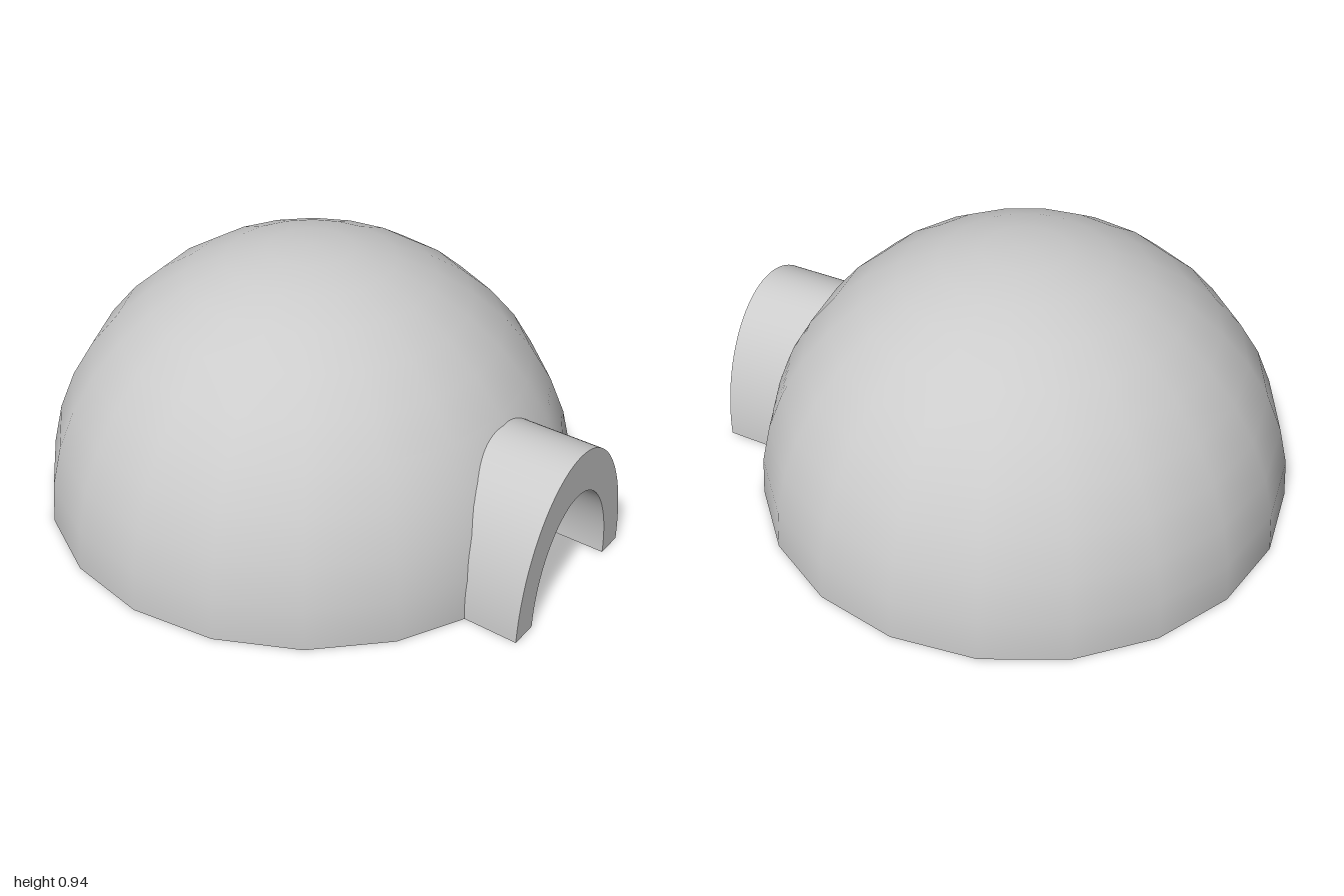
import * as THREE from 'three';
import { mergeGeometries, toCreasedNormals } from 'three/addons/utils/BufferGeometryUtils.js';

const R = 0.94, DOME_Z = -0.06;
const DU = Math.PI / 10; // dome facet width: 20 around
const DV = Math.PI / 20; // dome facet height: 10 from rim to crown

// Point on the dome's sphere at facet coordinates (u from the front, v from the rim)
function spherePoint(u, v) {
  const c = R * Math.cos(v * DV);
  return new THREE.Vector3(c * Math.sin(u * DU), R * Math.sin(v * DV), c * Math.cos(u * DU));
}

// Same, but lying on the straight-edged facets
function facetPoint(u, v) {
  const u0 = Math.floor(u), v0 = Math.floor(v);
  const low = spherePoint(u0, v0).lerp(spherePoint(u0 + 1, v0), u - u0);
  const high = spherePoint(u0, v0 + 1).lerp(spherePoint(u0 + 1, v0 + 1), u - u0);
  return low.lerp(high, v - v0);
}

// Front part of the dome, 4 x 4 facets, with an arched doorway cut out
function doorwayPatch(halfWidth, height) {
  const sub = 4, rows = 8, rim = [];
  for (let i = 0; i < 4 * sub; i++) rim.push([2, i / sub]);
  for (let i = 0; i < 4 * sub; i++) rim.push([2 - i / sub, 4]);
  for (let i = 0; i <= 4 * sub; i++) rim.push([-2, 4 - i / sub]);

  const positions = [], normals = [], index = [];
  rim.forEach(([u, v], i) => {
    const t = Math.atan2(v / 4, u / 2);
    const el = Math.asin(height * Math.sin(t) / R);
    const az = Math.asin(halfWidth * Math.cos(t) / (R * Math.cos(el)));
    for (let j = 0; j <= rows; j++) {
      const p = facetPoint(
        THREE.MathUtils.lerp(az / DU, u, j / rows),
        THREE.MathUtils.lerp(el / DV, v, j / rows));
      positions.push(p.x, p.y, p.z);
      p.normalize();
      normals.push(p.x, p.y, p.z);
      if (i < rim.length - 1 && j < rows) {
        const a = i * (rows + 1) + j, d = a + rows + 1;
        index.push(a, a + 1, d + 1, a, d + 1, d);
      }
    }
  });
  const g = new THREE.BufferGeometry();
  g.setAttribute('position', new THREE.Float32BufferAttribute(positions, 3));
  g.setAttribute('normal', new THREE.Float32BufferAttribute(normals, 3));
  g.setIndex(index);
  return g;
}

export function createModel() {
  const group = new THREE.Group();
  const material = new THREE.MeshStandardMaterial({ color: 0xcccccc });
  const shellMaterial = new THREE.MeshStandardMaterial({ color: 0xcccccc, side: THREE.DoubleSide });

  // Open dome shell: crown, lower band around the back, and the doorway front
  const crown = new THREE.SphereGeometry(R, 20, 6, 0, Math.PI * 2, 0, 6 * DV);
  const band = new THREE.SphereGeometry(R, 16, 4, Math.PI / 2 + 2 * DU, 16 * DU, 6 * DV, 4 * DV);
  crown.deleteAttribute('uv');
  band.deleteAttribute('uv');
  const dome = new THREE.Mesh(mergeGeometries([crown, band, doorwayPatch(0.285, 0.447)]), shellMaterial);
  dome.name = 'dome';
  dome.position.z = DOME_Z;
  group.add(dome);

  // Arched entrance tunnel, reaching a little way inside the dome
  const arch = new THREE.Shape();
  arch.moveTo(0.335, 0);
  arch.absellipse(0, 0, 0.335, 0.525, 0, Math.PI, false);
  arch.lineTo(-0.237, 0);
  arch.absellipse(0, 0, 0.237, 0.37, Math.PI, 0, true);
  arch.closePath();
  const back = 0.67;
  const tunnelGeometry = new THREE.ExtrudeGeometry(arch, { depth: 1 - back, bevelEnabled: false, curveSegments: 32 });
  const tunnel = new THREE.Mesh(toCreasedNormals(tunnelGeometry, Math.PI / 6), material);
  tunnel.name = 'entranceTunnel';
  tunnel.position.z = back;
  group.add(tunnel);

  return group;
}
